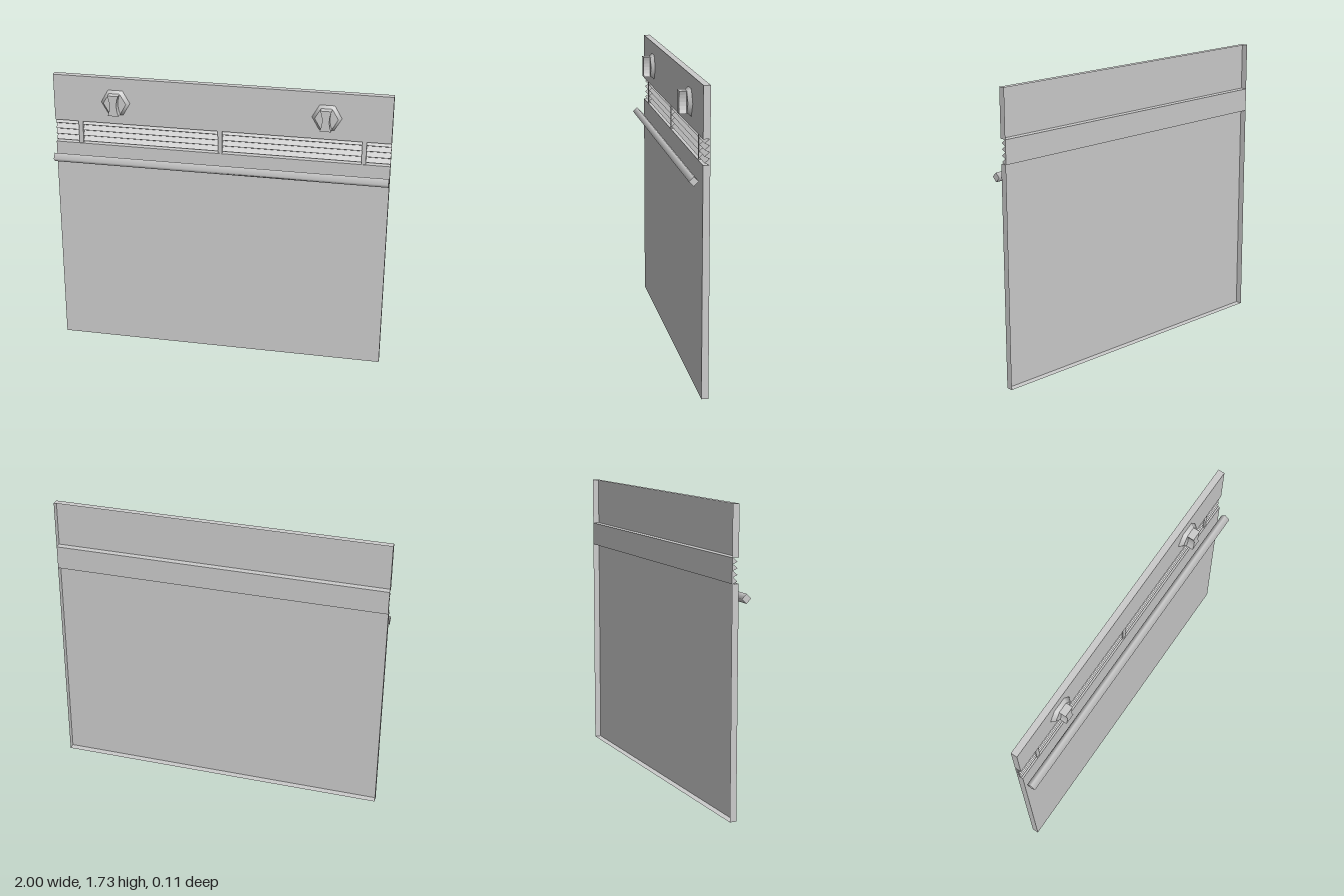
import * as THREE from 'three';

const BACK = -0.057, FRONT = -0.018;
const VENT_LOW = 1.31, VENT_HIGH = 1.45, TOP = 1.733;

const grey = new THREE.MeshStandardMaterial({ color: 0xcccccc });
const greyThin = new THREE.MeshStandardMaterial({ color: 0xcccccc, side: THREE.DoubleSide });

function add(parent, name, geometry, material = grey) {
  const mesh = new THREE.Mesh(geometry, material);
  mesh.name = name;
  parent.add(mesh);
  return mesh;
}

// Sheet panel with folded rims, open at the back
function panelGeometry(y0, y1) {
  const g = new THREE.BoxGeometry(2, y1 - y0, FRONT - BACK);
  g.setIndex(Array.from(g.index.array).slice(0, 30)); // drop the back face
  g.clearGroups();
  return g.translate(0, (y0 + y1) / 2, (FRONT + BACK) / 2);
}

// Sawtooth louvre profile, extruded across the full width
function louvreGeometry() {
  const teeth = 4, pitch = (VENT_HIGH - VENT_LOW) / teeth;
  const s = new THREE.Shape();
  s.moveTo(BACK, VENT_LOW);
  for (let i = 0; i < teeth; i++) {
    const y = VENT_LOW + i * pitch;
    s.lineTo(-0.052, y);
    s.lineTo(-0.026, y + pitch * 0.35);
  }
  s.lineTo(-0.052, VENT_HIGH);
  s.lineTo(BACK, VENT_HIGH);
  s.closePath();
  const g = new THREE.ExtrudeGeometry(s, { depth: 2, bevelEnabled: false });
  return g.rotateY(-Math.PI / 2).translate(1, 0, 0);
}

// Waisted grip with concave sides
function gripGeometry() {
  const s = new THREE.Shape();
  s.moveTo(-0.033, -0.062);
  s.lineTo(0.033, -0.062);
  s.quadraticCurveTo(0.008, 0, 0.033, 0.062);
  s.lineTo(-0.033, 0.062);
  s.quadraticCurveTo(-0.008, 0, -0.033, -0.062);
  return new THREE.ExtrudeGeometry(s, { depth: 0.042, bevelEnabled: false, curveSegments: 6 });
}

function createKnob(name) {
  const knob = new THREE.Group();
  knob.name = name;
  // Tapered hexagonal base
  const base = new THREE.CylinderGeometry(0.068, 0.087, 0.023, 6, 1, false, Math.PI / 6);
  add(knob, 'knobBase', base.rotateX(Math.PI / 2).translate(0, 0, FRONT + 0.0115));
  add(knob, 'knobGrip', gripGeometry()).position.z = 0.004;
  return knob;
}

export function createModel() {
  const model = new THREE.Group();
  model.name = 'ovenFront';

  add(model, 'doorPanel', panelGeometry(0, VENT_LOW), greyThin);
  add(model, 'controlPanel', panelGeometry(VENT_HIGH, TOP), greyThin);

  // Vent strip with upright dividers
  const vent = new THREE.Group();
  vent.name = 'vent';
  add(vent, 'louvres', louvreGeometry());
  for (const x of [-0.845, 0, 0.845]) {
    const divider = new THREE.BoxGeometry(0.026, VENT_HIGH - VENT_LOW, 0.033);
    add(vent, 'ventDivider', divider).position.set(x, (VENT_LOW + VENT_HIGH) / 2, -0.0395);
  }
  model.add(vent);

  // Diamond-section handle bar
  const bar = new THREE.CylinderGeometry(0.027, 0.027, 2, 4).rotateZ(Math.PI / 2);
  add(model, 'handleBar', bar).position.set(0, 1.226, 0.03);

  for (const side of [-1, 1]) {
    const knob = createKnob(side > 0 ? 'leftKnob' : 'rightKnob');
    knob.position.set(side * 0.624, 1.583, 0);
    model.add(knob);
  }
  return model;
}
